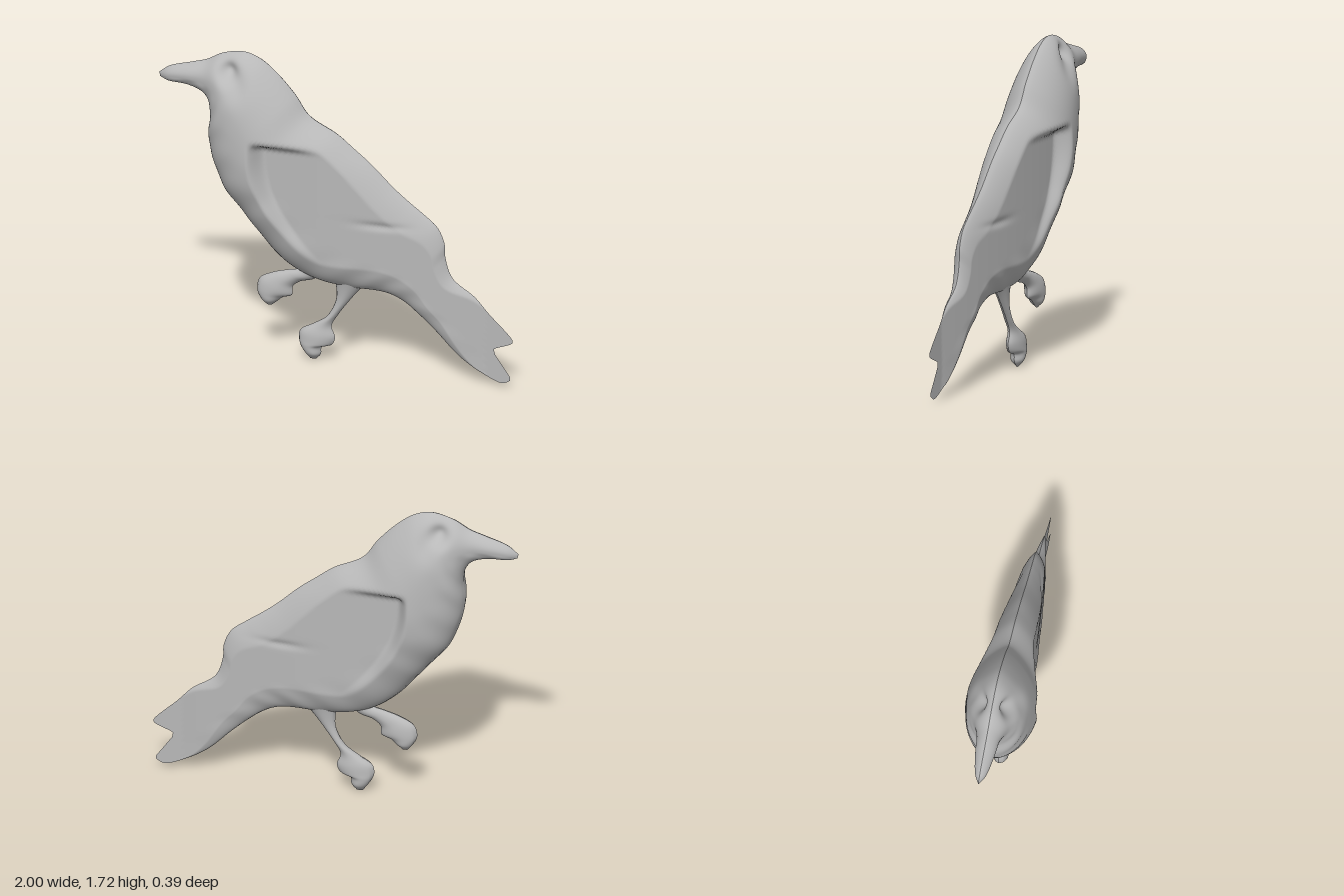
import * as THREE from 'three';

const SEAM = -0.015; // z of the flat mirror seam
const smooth = THREE.MathUtils.smoothstep;
const dent = (x, y, cx, cy, rx, ry) => Math.exp(-(((x - cx) / rx) ** 2) - ((y - cy) / ry) ** 2);

// One half of a lens-shaped loft. Stations: [edgeA x, y, edgeB x, y, half thickness].
// The lens is pointed at edge A and fuller at edge B.
function halfLoft(stations, side, rows, cols, shape) {
  const edgeA = new THREE.CatmullRomCurve3(stations.map(s => new THREE.Vector3(s[0], s[1], s[4])));
  const edgeB = new THREE.CatmullRomCurve3(stations.map(s => new THREE.Vector3(s[2], s[3], s[4])));
  const pos = [], index = [];
  for (let i = 0; i <= rows; i++) {
    const u = i / rows, a = edgeA.getPoint(u), b = edgeB.getPoint(u);
    for (let j = 0; j <= cols; j++) {
      const t = j / cols;
      const p = a.clone().lerp(b, t);
      p.z = Math.max(0, a.z) * Math.pow(4 * t * (1 - t), t < 0.5 ? 0.8 : 0.52);
      if (shape) shape(p, u, t);
      pos.push(p.x, p.y, SEAM + side * p.z * (side > 0 ? 1.06 : 0.93));
      if (i < rows && j < cols) {
        const k = i * (cols + 1) + j, n = k + cols + 1;
        if (side > 0) index.push(k, k + 1, n + 1, k, n + 1, n);
        else index.push(k, n + 1, k + 1, k, n, n + 1);
      }
    }
  }
  const g = new THREE.BufferGeometry();
  g.setAttribute('position', new THREE.Float32BufferAttribute(pos, 3));
  g.setIndex(index);
  g.computeVertexNormals();
  return g;
}

// Sunken wing, eye socket, feather groove and tail notch
function sculptBody(p, u, t) {
  const { x, y } = p;
  const rim = -0.43 + 0.95 * Math.max(0, 1.2 - y) ** 2;
  const mask = smooth(x, rim - 0.01, rim + 0.07) * (1 - smooth(y, 1.23, 1.285));
  const wing = Math.min(p.z, 0.105 - 0.04 * x - 0.1 * x * x);
  p.z += (wing - p.z) * mask;
  const cut = 0.06 * dent(x, y, -0.58, 1.625, 0.05, 0.05) + 0.025 * dent(x, y, -0.52, 1.57, 0.06, 0.08)
    + 0.012 * dent(x, y, 0.28, 0.865, 0.13, 0.018);
  const ripple = 0.003 * Math.sin(u * 95 + t * 3) * smooth(t, 0.6, 0.8);
  p.z = Math.max(0, p.z - Math.min(cut, p.z * 0.7) + ripple * Math.min(1, p.z * 20));
  const notch = t < 0.32 ? smooth(t, 0.05, 0.32) : Math.max(0, 1 - (t - 0.32) / 0.6);
  p.x -= 0.11 * smooth(u, 0.88, 1) * notch;
}

export function createModel() {
  const bird = new THREE.Group();
  bird.name = 'bird';
  const grey = new THREE.MeshStandardMaterial({ color: 0xb8b8b8 });
  grey.name = 'plain grey';

  function addLoft(name, stations, rows, cols, shape) {
    const part = new THREE.Group();
    part.name = name;
    for (const side of [1, -1]) {
      const mesh = new THREE.Mesh(halfLoft(stations, side, rows, cols, shape), grey);
      mesh.name = name + (side > 0 ? 'Front' : 'Back');
      part.add(mesh);
    }
    bird.add(part);
  }

  // Beak, head, breast, back and forked tail
  addLoft('body', [
    [-1.0, 1.535, -0.995, 1.51, 0],
    [-0.94, 1.58, -0.95, 1.495, 0.03],
    [-0.82, 1.62, -0.84, 1.49, 0.053],
    [-0.73, 1.65, -0.755, 1.465, 0.063],
    [-0.64, 1.70, -0.71, 1.41, 0.09],
    [-0.52, 1.725, -0.70, 1.33, 0.13],
    [-0.43, 1.70, -0.71, 1.24, 0.155],
    [-0.34, 1.635, -0.70, 1.15, 0.17],
    [-0.23, 1.52, -0.67, 1.05, 0.186],
    [-0.15, 1.41, -0.62, 0.94, 0.198],
    [0.01, 1.325, -0.53, 0.83, 0.2],
    [0.11, 1.25, -0.45, 0.735, 0.19],
    [0.2, 1.18, -0.34, 0.61, 0.17],
    [0.33, 1.06, -0.21, 0.515, 0.142],
    [0.42, 0.99, -0.07, 0.47, 0.118],
    [0.49, 0.94, 0.08, 0.455, 0.1],
    [0.575, 0.87, 0.2, 0.458, 0.087],
    [0.615, 0.78, 0.31, 0.45, 0.077],
    [0.62, 0.70, 0.40, 0.41, 0.068],
    [0.66, 0.59, 0.48, 0.35, 0.06],
    [0.785, 0.50, 0.57, 0.27, 0.05],
    [0.87, 0.41, 0.705, 0.14, 0.041],
    [0.945, 0.34, 0.84, 0.06, 0.034],
    [0.985, 0.30, 0.94, 0.025, 0.022],
    [1.0, 0.28, 0.985, 0.045, 0],
  ], 180, 64, sculptBody);

  // Legs widen into flattened feet with a short hind toe
  addLoft('forwardLeg', [
    [-0.06, 0.52, -0.17, 0.56, 0.035],
    [-0.13, 0.465, -0.2, 0.52, 0.03],
    [-0.205, 0.44, -0.27, 0.50, 0.028],
    [-0.245, 0.405, -0.35, 0.475, 0.035],
    [-0.25, 0.355, -0.43, 0.43, 0.043],
    [-0.3, 0.335, -0.445, 0.365, 0.042],
    [-0.33, 0.31, -0.42, 0.315, 0.035],
    [-0.365, 0.28, -0.39, 0.28, 0],
  ], 40, 16);
  addLoft('rearLeg', [
    [0.19, 0.50, -0.03, 0.54, 0.05],
    [0.13, 0.44, 0.0, 0.45, 0.034],
    [0.075, 0.37, 0.0, 0.365, 0.024],
    [0.015, 0.285, -0.05, 0.265, 0.022],
    [-0.025, 0.21, -0.12, 0.215, 0.026],
    [-0.005, 0.145, -0.2, 0.165, 0.04],
    [-0.025, 0.1, -0.21, 0.12, 0.043],
    [-0.08, 0.08, -0.2, 0.085, 0.042],
    [-0.085, 0.04, -0.175, 0.045, 0.036],
    [-0.115, 0.005, -0.145, 0.005, 0],
  ], 44, 16);
  return bird;
}
